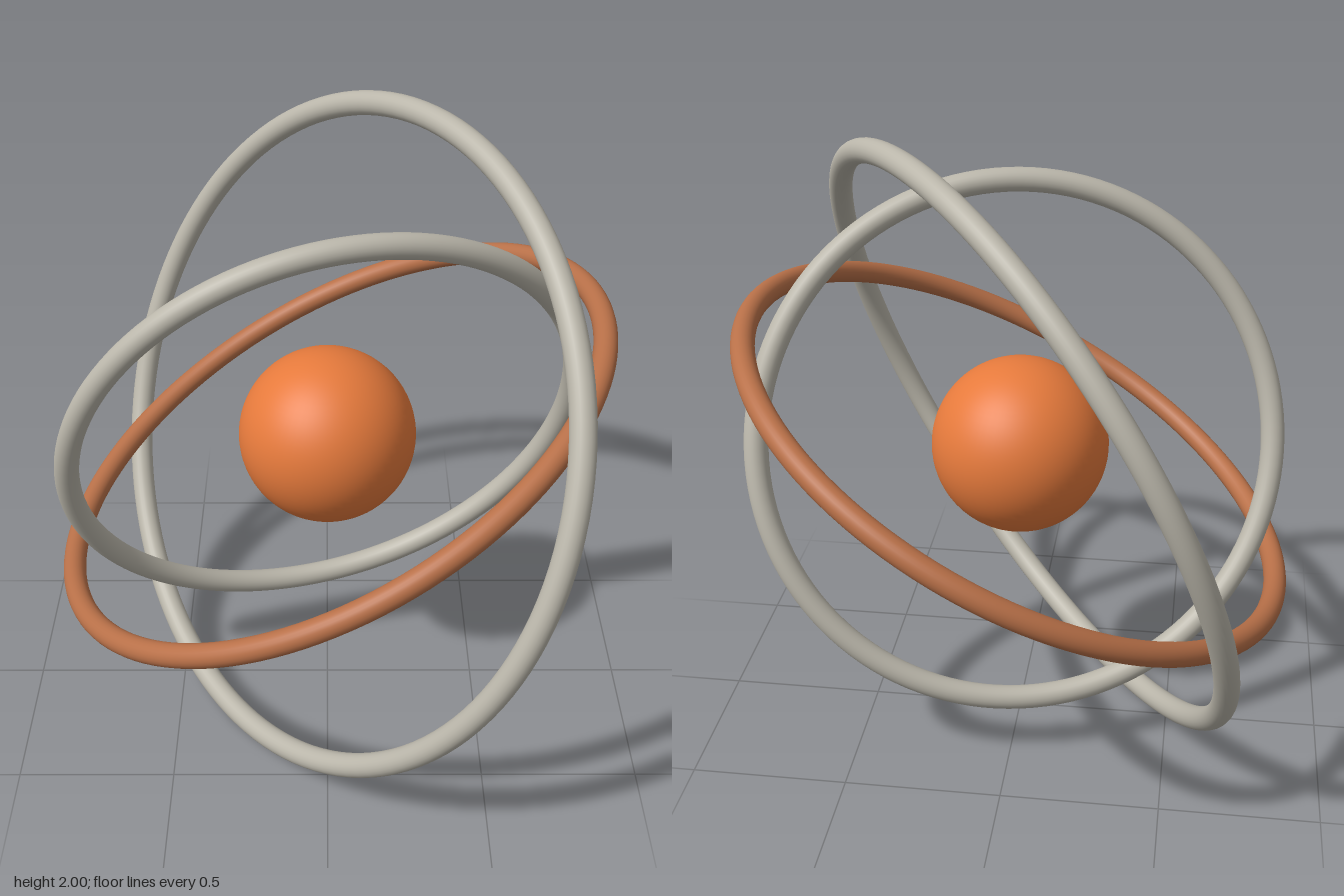
import * as THREE from 'three';

const CENTRE_Y = 1;

// A round hoop about the centre, lying in the plane with the given normal
function makeRing(name, radius, tube, normal, material) {
  const ring = new THREE.Mesh(new THREE.TorusGeometry(radius, tube, 24, 128), material);
  ring.name = name;
  ring.position.y = CENTRE_Y;
  ring.quaternion.setFromUnitVectors(
    new THREE.Vector3(0, 0, 1),
    new THREE.Vector3(...normal).normalize()
  );
  return ring;
}

export function createModel() {
  const model = new THREE.Group();
  model.name = 'orbitingRings';

  const orange = new THREE.MeshStandardMaterial({ color: 0xe67a3c });
  const copper = new THREE.MeshStandardMaterial({ color: 0xb87048 });
  const silver = new THREE.MeshStandardMaterial({ color: 0xbab6aa });

  // Central ball
  const core = new THREE.Mesh(new THREE.SphereGeometry(0.28, 64, 40), orange);
  core.name = 'core';
  core.position.y = CENTRE_Y;
  model.add(core);

  // Three interlocking hoops, each tilted its own way
  model.add(
    makeRing('innerRing', 0.825, 0.038, [0.257, -0.329, 0.909], silver),
    makeRing('middleRing', 0.932, 0.036, [-0.46, 0.888, 0], copper),
    makeRing('outerRing', 1.036, 0.038, [-0.755, 0.373, 0.541], silver)
  );

  return model;
}
